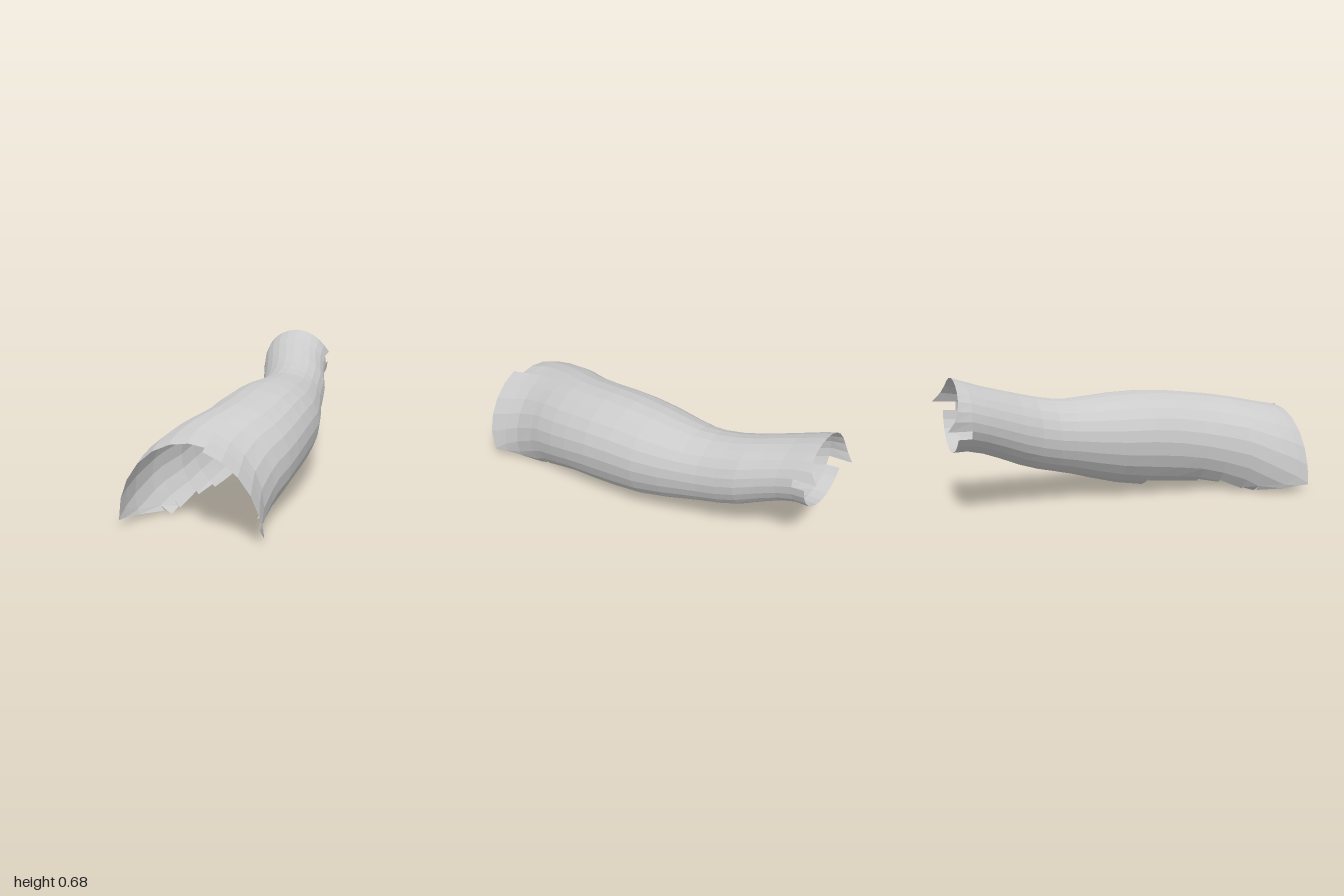
import * as THREE from 'three';

// Cross-sections along the sleeve: z, min x, max x, top y, bottom y, y of widest point
const RINGS = [
  [-0.94, -0.25, 0.15, 0.687, 0.32, 0.5],
  [-0.88, -0.24, 0.155, 0.667, 0.32, 0.495],
  [-0.8, -0.22, 0.165, 0.64, 0.3, 0.47],
  [-0.7, -0.19, 0.19, 0.612, 0.26, 0.435],
  [-0.6, -0.163, 0.22, 0.585, 0.215, 0.4],
  [-0.5, -0.14, 0.235, 0.56, 0.18, 0.37],
  [-0.4, -0.13, 0.25, 0.542, 0.155, 0.35],
  [-0.3, -0.135, 0.275, 0.534, 0.13, 0.34],
  [-0.2, -0.15, 0.3, 0.54, 0.1, 0.33],
  [-0.05, -0.175, 0.33, 0.552, 0.06, 0.32],
  [0.1, -0.188, 0.342, 0.556, 0.035, 0.315],
  [0.25, -0.197, 0.347, 0.55, 0.02, 0.3],
  [0.39, -0.21, 0.345, 0.535, 0.01, 0.275],
  [0.5, -0.23, 0.337, 0.523, -0.02, 0.25],
  [0.62, -0.278, 0.318, 0.505, -0.07, 0.22],
  [0.68, -0.305, 0.308, 0.494, -0.11, 0.19],
  [0.8, -0.34, 0.3, 0.47, -0.17, 0.13],
  [0.88, -0.35, 0.318, 0.455, -0.22, 0.09],
  [0.94, -0.355, 0.345, 0.44, -0.25, 0.05],
];

// Open underside: start z, end z, left angle at start and end, right angle at start and end
const CUTS = [
  [0.1, 0.39, 147, 144, 166, 165],
  [0.39, 0.5, 140, 137, 152, 148],
  [0.5, 0.62, 133, 135, 145, 142],
  [0.62, 0.68, 133, 138, 132, 129],
  [0.68, 0.94, 126, 91, 129, 91],
];

const SEGMENTS = 24;
const STEP = 360 / SEGMENTS;

// Point on a cross-section; the angle is in degrees from the top, positive towards +x
function ringPoint([z, x0, x1, top, bottom, mid], angle, shift) {
  const a = THREE.MathUtils.degToRad(angle);
  const c = Math.cos(a);
  return new THREE.Vector3(
    (x0 + x1) / 2 + ((x1 - x0) / 2) * Math.sin(a),
    Math.max(0.005, mid + c * (c > 0 ? top - mid : mid - bottom)),
    z + shift
  );
}

// Ragged rim at the narrow end: two pointed corners on the upper part
function rearShift(angle) {
  if (angle < -107 || angle > 80) return -0.01 * Math.abs(angle) / 180;
  const side = angle < 0 ? -angle / 105 : angle / 75;
  return -0.06 * Math.pow(side, 5);
}

// The right part of the wide rim reaches further forward than the left
function frontShift(angle, cellStart) {
  if (cellStart < 15) return 0;
  return 0.06 * Math.sqrt(Math.max(0, Math.cos(THREE.MathUtils.degToRad(angle))));
}

function cutLimits(zMid, z) {
  const cut = CUTS.find((c) => zMid > c[0] && zMid < c[1]);
  if (!cut) return [180, 180];
  const t = (z - cut[0]) / (cut[1] - cut[0]);
  return [THREE.MathUtils.lerp(cut[2], cut[3], t), THREE.MathUtils.lerp(cut[4], cut[5], t)];
}

function sleeveGeometry() {
  const positions = [];
  const tri = (...points) => points.forEach((p) => positions.push(p.x, p.y, p.z));
  const last = RINGS.length - 2;

  for (let i = 0; i <= last; i++) {
    const pair = [RINGS[i], RINGS[i + 1]];
    const zMid = (pair[0][0] + pair[1][0]) / 2;
    const limits = pair.map((r) => cutLimits(zMid, r[0]));

    for (let j = 0; j < SEGMENTS; j++) {
      const start = -180 + j * STEP;
      // Slits in the narrow rim
      if (i === 0 && (start === 75 || start === -120)) continue;

      const corners = pair.map((ring, k) =>
        [start, start + STEP].map((angle) => {
          const a = THREE.MathUtils.clamp(angle, -limits[k][0], limits[k][1]);
          let shift = 0;
          if (i === 0 && k === 0) shift = rearShift(a);
          if (i === last && k === 1) shift = frontShift(a, start);
          return ringPoint(ring, a, shift);
        })
      );
      const [[a, b], [d, c]] = corners;
      if (a.distanceTo(b) > 1e-5) tri(a, c, b);
      if (d.distanceTo(c) > 1e-5) tri(a, d, c);
    }
  }

  const geometry = new THREE.BufferGeometry();
  geometry.setAttribute('position', new THREE.Float32BufferAttribute(positions, 3));
  geometry.computeVertexNormals();
  return geometry;
}

export function createModel() {
  const group = new THREE.Group();
  group.name = 'forearmSleeve';

  // Thin faceted shell, open at both ends and beneath the wide end
  const material = new THREE.MeshStandardMaterial({
    color: 0xcccccc,
    flatShading: true,
    side: THREE.DoubleSide,
  });
  const shell = new THREE.Mesh(sleeveGeometry(), material);
  shell.name = 'sleeveShell';
  group.add(shell);
  return group;
}
